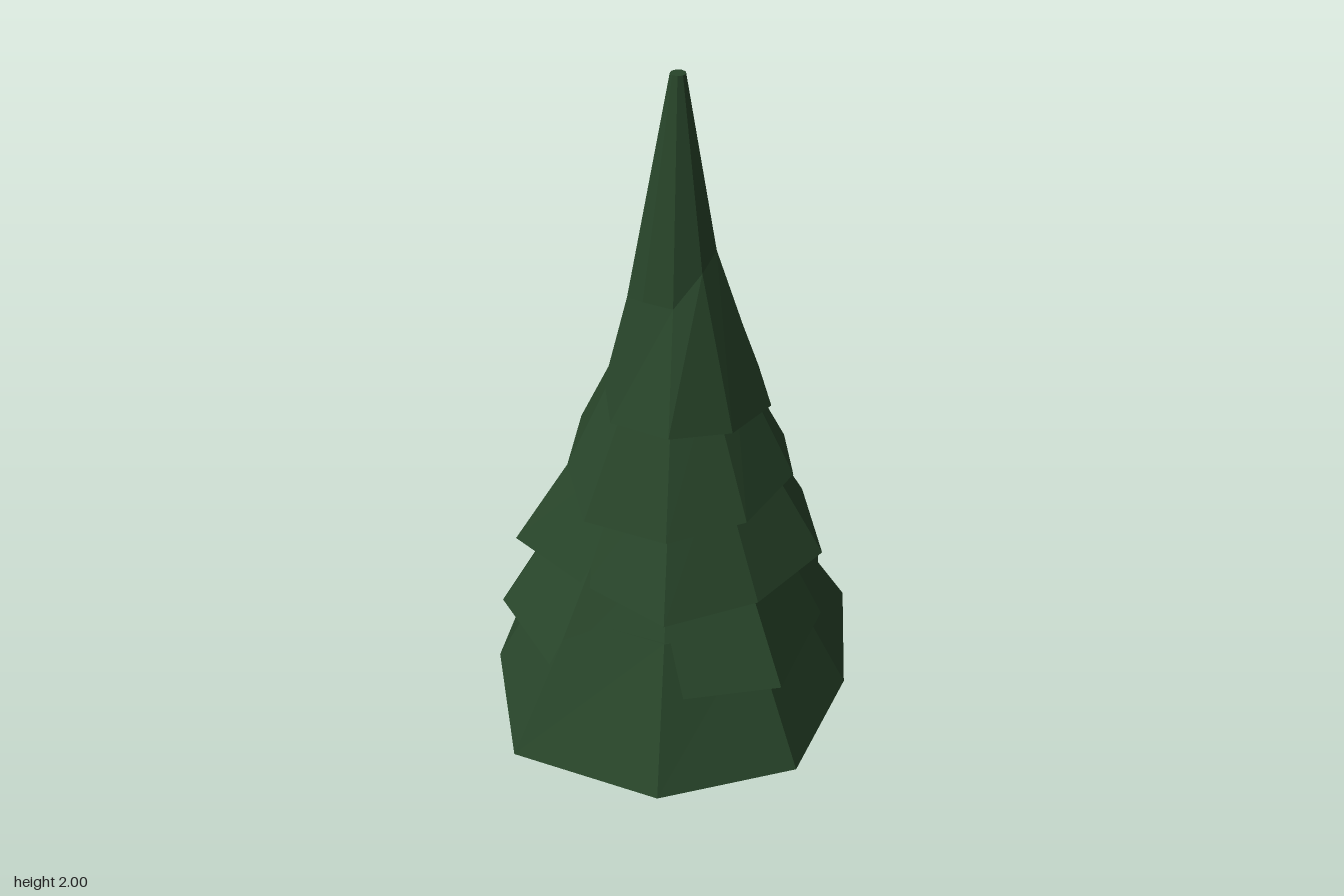
import * as THREE from 'three';

const SIDES = 9;
const CX = 0.02, CZ = -0.03; // trunk axis

// Flat-faced closed solid from stacked rings, each ring a list of [radius, y], bottom first
function ringSolid(rings, material, name) {
  const pts = rings.map(ring => ring.map(([r, y], k) => {
    const a = (k / SIDES) * Math.PI * 2;
    return new THREE.Vector3(CX + r * Math.sin(a), y, CZ - r * Math.cos(a));
  }));
  const pos = [];
  const tri = (...vs) => vs.forEach(v => pos.push(v.x, v.y, v.z));
  const centre = ring => new THREE.Vector3(CX, ring.reduce((s, v) => s + v.y, 0) / SIDES, CZ);
  const low = pts[0], high = pts[pts.length - 1];
  const lowC = centre(low), highC = centre(high);
  for (let k = 0; k < SIDES; k++) {
    const n = (k + 1) % SIDES;
    for (let i = 0; i + 1 < pts.length; i++) {
      const a = pts[i], b = pts[i + 1];
      tri(a[n], a[k], b[k]);
      tri(a[n], b[k], b[n]);
    }
    tri(lowC, low[k], low[n]);
    tri(highC, high[n], high[k]);
  }
  const geo = new THREE.BufferGeometry();
  geo.setAttribute('position', new THREE.Float32BufferAttribute(pos, 3));
  geo.computeVertexNormals();
  const mesh = new THREE.Mesh(geo, material);
  mesh.name = name;
  return mesh;
}

export function createModel() {
  const needles = new THREE.MeshStandardMaterial({ color: 0x28452a, flatShading: true });
  needles.name = 'needle green';
  const bark = new THREE.MeshStandardMaterial({ color: 0x4c322a, flatShading: true });
  bark.name = 'bark brown';

  const tree = new THREE.Group();
  tree.name = 'firTree';

  // Trunk
  const trunk = new THREE.Mesh(new THREE.CylinderGeometry(0.034, 0.053, 0.3, 8), bark);
  trunk.position.set(CX, 0.15, CZ);
  trunk.name = 'trunk';
  tree.add(trunk);

  // Skirts of branches: uneven hem radii and heights, tapering towards a virtual apex
  const skirts = [
    { apex: 0.95, r: [.525, .572, .503, .565, .589, .619, .512, .543, .509],
      y: [.2, .2, .2, .205, .235, .24, .225, .195, .2] },
    { apex: 0.82, r: [.445, .464, .42, .483, .443, .47, .49, .457, .49],
      y: [.455, .455, .45, .45, .445, .46, .44, .44, .45] },
    { apex: 0.72, r: [.37, .40, .41, .37, .386, .342, .44, .39, .41],
      y: [.67, .67, .67, .67, .66, .675, .665, .665, .67] },
    { apex: 0.65, r: [.313, .33, .318, .31, .32, .335, .29, .317, .31],
      y: [.9, .885, .92, .9, .885, .89, .91, .92, .91] },
  ];
  skirts.forEach(({ apex, r, y }, i) => {
    const rise = 0.35;
    const hem = r.map((v, k) => [v, y[k]]);
    const top = r.map((v, k) => [v * (1 - rise / apex), y[k] + rise]);
    tree.add(ringSolid([hem, top], needles, `branchSkirt${i + 1}`));
  });

  // Crown: short flared hem, then a steep spire
  const hemR = [.226, .24, .25, .24, .25, .235, .185, .18, .206];
  const hemY = [1.13, 1.14, 1.13, 1.14, 1.16, 1.15, 1.17, 1.18, 1.15];
  const bendY = [1.5, 1.5, 1.56, 1.53, 1.45, 1.45, 1.42, 1.4, 1.46];
  tree.add(ringSolid([
    hemR.map((r, k) => [r, hemY[k]]),
    bendY.map(y => [0.019 + (2 - y) * 0.18, y]),
    bendY.map(() => [0.019, 2]),
  ], needles, 'crown'));

  return tree;
}
